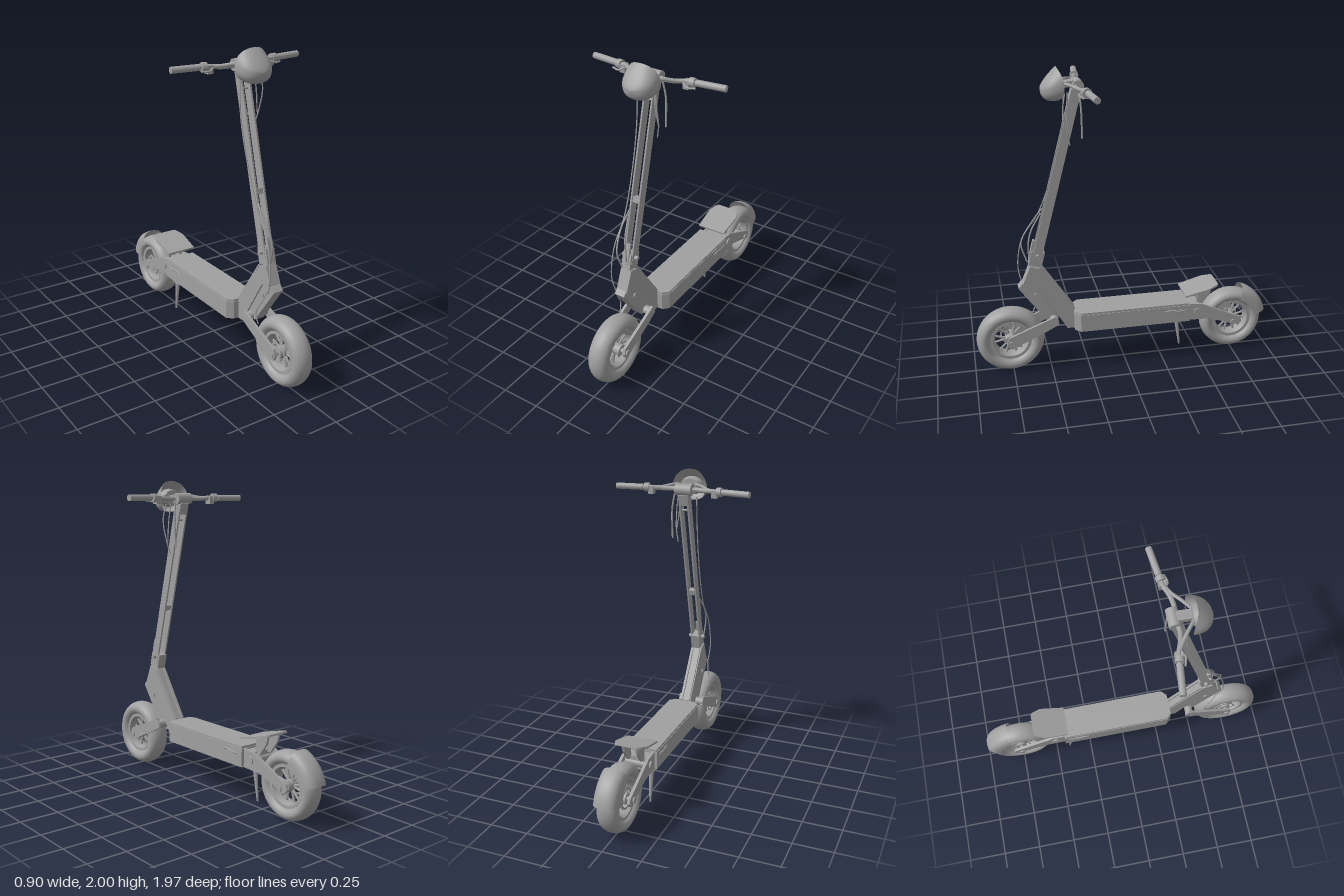
import * as THREE from 'three';
import { toCreasedNormals } from 'three/addons/utils/BufferGeometryUtils.js';
import { ParametricGeometry } from 'three/addons/geometries/ParametricGeometry.js';

const grey = new THREE.MeshStandardMaterial({ color: 0xa0a0a0, side: THREE.DoubleSide });
grey.name = 'grey';

const V = (x, y, z) => new THREE.Vector3(x, y, z);

function add(parent, name, geometry) {
  const mesh = new THREE.Mesh(geometry, grey);
  mesh.name = name;
  parent.add(mesh);
  return mesh;
}

// side outline of [z, y] points, extruded from x0 to x1
function plate(parent, name, outline, x0, x1) {
  const shape = new THREE.Shape(outline.map(([z, y]) => new THREE.Vector2(z, y)));
  const g = new THREE.ExtrudeGeometry(shape, { depth: x1 - x0, bevelEnabled: false });
  g.rotateY(-Math.PI / 2).translate(x1, 0, 0);
  return add(parent, name, g);
}

// straight round bar between two points
function bar(parent, name, a, b, ra, rb = ra, sides = 20) {
  const d = b.clone().sub(a);
  const mesh = add(parent, name, new THREE.CylinderGeometry(rb, ra, d.length(), sides));
  mesh.position.copy(a).addScaledVector(d, 0.5);
  mesh.quaternion.setFromUnitVectors(V(0, 1, 0), d.normalize());
  return mesh;
}

const pin = (parent, name, y, z, r, half) => bar(parent, name, V(-half, y, z), V(half, y, z), r);

function tube(parent, name, points, r) {
  const curve = new THREE.CatmullRomCurve3(points.map((p) => V(...p)));
  return add(parent, name, new THREE.TubeGeometry(curve, 40, r, 8));
}

function box(parent, name, size, pos, tilt = 0) {
  const mesh = add(parent, name, new THREE.BoxGeometry(...size));
  mesh.position.set(...pos);
  mesh.rotation.x = tilt;
  return mesh;
}

function ring(parent, name, profile) {
  const pts = profile.map(([r, x]) => new THREE.Vector2(r, x));
  const g = new THREE.LatheGeometry(pts, 56).rotateZ(Math.PI / 2);
  return add(parent, name, toCreasedNormals(g, 0.6));
}

function wheel(name, z, R) {
  const g = new THREE.Group();
  g.name = name;
  g.position.set(0, 0.22, z);
  const mid = (R + 0.125) / 2, half = (R - 0.125) / 2;
  const tyre = [];
  for (let i = 0; i <= 28; i++) {
    const a = (i / 28) * Math.PI * 2;
    tyre.push([mid + half * Math.cos(a), 0.068 * Math.sin(a)]);
  }
  ring(g, 'tyre', tyre);
  ring(g, 'rim', [[0.115, -0.045], [0.135, -0.045], [0.135, 0.045], [0.115, 0.045], [0.105, 0.02], [0.105, -0.02], [0.115, -0.045]]);
  pin(g, 'hub', 0, 0, 0.036, 0.05);
  pin(g, 'axle', 0, 0, 0.015, 0.1);
  // paired spokes
  for (let i = 0; i < 6; i++) {
    for (const s of [-1, 1]) {
      const a = (i / 6) * Math.PI * 2 + s * 0.1, b = a + s * 0.12;
      bar(g, 'spoke', V(0, 0.03 * Math.sin(a), 0.03 * Math.cos(a)),
        V(0, 0.112 * Math.sin(b), 0.112 * Math.cos(b)), 0.009, 0.008, 6);
    }
  }
  const disc = add(g, 'brakeDisc', new THREE.RingGeometry(0.055, 0.068, 40));
  disc.rotation.y = Math.PI / 2;
  disc.position.x = -0.045;
  return g;
}

export function createModel() {
  const model = new THREE.Group();
  model.name = 'scooter';
  model.add(wheel('frontWheel', 0.76, 0.222), wheel('rearWheel', -0.745, 0.213));

  // deck with cut front corners
  const deckPlan = (w, front, back, cut) => new THREE.Shape([[-w, back], [w, back], [w, front - cut], [w - cut, front], [cut - w, front], [-w, front - cut]]
    .map(([x, z]) => new THREE.Vector2(x, -z)));
  const slab = (name, w, front, back, cut, y, h) => add(model, name,
    new THREE.ExtrudeGeometry(deckPlan(w, front, back, cut), { depth: h, bevelEnabled: false }).rotateX(-Math.PI / 2).translate(0, y, 0));
  slab('deck', 0.108, 0.34, -0.43, 0.035, 0.268, 0.117);
  slab('deckMat', 0.104, 0.335, -0.425, 0.033, 0.385, 0.014);

  // neck rising from deck to head block
  plate(model, 'neck', [[0.67, 0.6], [0.615, 0.735], [0.555, 0.715], [0.34, 0.4], [0.335, 0.268], [0.385, 0.268], [0.58, 0.6]], -0.038, 0.038);
  for (const s of [-1, 1]) {
    const x = s * 0.025;
    plate(model, 'neckRib', [[0.555, 0.725], [0.535, 0.715], [0.33, 0.405], [0.34, 0.395]], x - 0.008, x + 0.008);
  }

  // front fork: central leg and side swing arms
  plate(model, 'forkLeg', [[0.695, 0.585], [0.67, 0.615], [0.59, 0.605], [0.44, 0.35], [0.51, 0.325]], -0.034, 0.034);
  pin(model, 'forkBolt', 0.53, 0.585, 0.014, 0.042);
  pin(model, 'forkPivot', 0.345, 0.475, 0.028, 0.088);
  pin(model, 'rearPivot', 0.325, -0.49, 0.026, 0.1);
  for (const s of [-1, 1]) {
    const x = s * 0.082;
    plate(model, 'frontArm', [[0.47, 0.385], [0.445, 0.33], [0.52, 0.29], [0.74, 0.187], [0.775, 0.187], [0.79, 0.22], [0.775, 0.26]], x - 0.009, x + 0.009);
    plate(model, 'rearArm', [[-0.41, 0.387], [-0.52, 0.375], [-0.79, 0.25], [-0.805, 0.22], [-0.785, 0.193], [-0.57, 0.262], [-0.41, 0.268]], x - 0.009, x + 0.009);
    for (const z of [0.76, -0.745]) {
      bar(model, 'axleNut', V(s * 0.07, 0.22, z), V(s * 0.1, 0.22, z), 0.02, 0.02, 6);
    }
    tube(model, 'deckSideCable', [[s * 0.11, 0.352, -0.26], [s * 0.111, 0.36, -0.3], [s * 0.111, 0.348, -0.35], [s * 0.11, 0.355, -0.4]], 0.005);
    box(model, 'deckSlot', [0.006, 0.01, 0.1], [s * 0.109, 0.355, -0.34]);
  }
  box(model, 'rearBridge', [0.15, 0.09, 0.09], [0, 0.33, -0.46]);

  // tilted foot rest and its supports
  const rest = new THREE.Shape([[-0.1, 0.118], [0.1, 0.118], [0.108, -0.05], [0.085, -0.11], [0.07, -0.12], [-0.07, -0.12], [-0.085, -0.11], [-0.108, -0.05]]
    .map(([x, z]) => new THREE.Vector2(x, -z)));
  const footRest = add(model, 'footRest', new THREE.ExtrudeGeometry(rest, { depth: 0.012, bevelEnabled: false }).rotateX(-Math.PI / 2));
  footRest.position.set(0, 0.468, -0.518);
  footRest.rotation.x = 0.25;
  for (const s of [-1, 1]) {
    plate(model, 'footRestSupport', [[-0.49, 0.355], [-0.5, 0.46], [-0.6, 0.485], [-0.585, 0.435], [-0.53, 0.36]], s * 0.045 - 0.008, s * 0.045 + 0.008);
  }

  // rear fender, a curved shell over the back of the tyre
  add(model, 'rearFender', new ParametricGeometry((u, v, p) => {
    const t = (u - 0.5) * Math.PI;
    const a = THREE.MathUtils.degToRad(18 + 60 * v);
    const x = 0.08 * Math.sign(t) * Math.pow(Math.abs(Math.sin(t)), 0.75);
    const r = 0.155 + 0.09 * Math.pow(Math.max(0, Math.cos(t)), 0.65);
    p.set(x, 0.22 + r * Math.cos(a), -0.745 - r * Math.sin(a));
  }, 28, 16));

  // kickstand
  bar(model, 'kickstand', V(-0.05, 0.26, -0.375), V(-0.05, 0.01, -0.405), 0.018, 0.006, 10);
  box(model, 'kickstandMount', [0.05, 0.045, 0.06], [-0.05, 0.25, -0.365]);

  // open stem made of two rails
  const stem = new THREE.Group();
  stem.name = 'stem';
  stem.position.set(0, 0.75, 0.578);
  stem.rotation.x = -0.252;
  model.add(stem);
  for (const s of [-1, 1]) {
    box(stem, 'stemRail', [0.011, 1.13, 0.058], [s * 0.028, 0.575, 0]);
  }
  box(stem, 'stemCrossBlock', [0.046, 0.035, 0.04], [0, 0.42, 0]);
  box(stem, 'stemTop', [0.064, 0.07, 0.062], [0, 1.11, 0]);
  box(stem, 'foldingHinge', [0.062, 0.1, 0.085], [0, 0.03, 0]);
  box(stem, 'foldingLatch', [0.035, 0.13, 0.018], [0, 0.08, 0.04]);
  pin(stem, 'hingePin', 0.055, 0, 0.013, 0.055);
  pin(stem, 'stemBolt', 1.03, 0, 0.007, 0.037);

  // handlebar
  pin(model, 'handlebarClamp', 1.885, 0.285, 0.036, 0.055);
  for (const s of [-1, 1]) {
    tube(model, 'handlebar', [[0, 1.885, 0.285], [s * 0.07, 1.885, 0.305], [s * 0.14, 1.885, 0.295], [s * 0.21, 1.89, 0.27], [s * 0.3, 1.89, 0.258]], 0.015);
    tube(model, 'headlightBrace', [[s * 0.035, 1.9, 0.395], [s * 0.09, 1.905, 0.35], [s * 0.15, 1.893, 0.305], [s * 0.21, 1.89, 0.272]], 0.011);
    bar(model, 'grip', V(s * 0.27, 1.89, 0.261), V(s * 0.449, 1.89, 0.24), 0.02);
    bar(model, 'gripCollar', V(s * 0.23, 1.89, 0.268), V(s * 0.262, 1.89, 0.263), 0.028);
    box(model, 'switchPod', [0.035, 0.05, 0.045], [s * 0.215, 1.875, 0.27]);
    tube(model, 'brakeLever', [[s * 0.2, 1.885, 0.29], [s * 0.23, 1.87, 0.305], [s * 0.28, 1.87, 0.292]], 0.006);
  }
  box(model, 'headlightNeck', [0.06, 0.035, 0.12], [0, 1.895, 0.34], 0.1);

  // headlight: rounded shell sloping from a high rear rim to a low nose
  add(model, 'headlight', new ParametricGeometry((u, v, p) => {
    const a = u * Math.PI * 2, c = Math.cos(a), s = Math.sin(a);
    const w = Math.sqrt(Math.max(0, 1 - v ** 2.6));
    const up = s > 0 ? 0.115 * (0.25 * w + 0.75 * (1 - v)) : 0.085 * w;
    const rim = 0.375 + 0.035 * s * s * (1 - v);
    p.set(0.11 * w * Math.sign(c) * Math.pow(Math.abs(c), 0.85),
      1.885 - 0.015 * v + up * Math.sign(s) * Math.pow(Math.abs(s), 0.85),
      rim + 0.135 * v);
  }, 40, 18));
  const display = bar(model, 'displayHousing', V(0, 1.89, 0.39), V(0, 1.89, 0.44), 0.05, 0.06, 28);
  display.scale.x = 1.3;

  // cables
  tube(model, 'longCable', [[-0.06, 1.83, 0.36], [-0.062, 1.6, 0.375], [-0.055, 1.3, 0.45], [-0.05, 1.05, 0.55], [-0.055, 0.9, 0.65], [-0.06, 0.7, 0.685], [-0.05, 0.57, 0.66]], 0.004);
  tube(model, 'shortCable', [[-0.03, 1.1, 0.52], [-0.045, 1.0, 0.59], [-0.03, 0.88, 0.66], [-0.02, 0.75, 0.63]], 0.005);
  tube(model, 'innerCable', [[-0.03, 1.07, 0.53], [-0.01, 0.95, 0.6], [0.005, 0.85, 0.62], [0, 0.74, 0.61]], 0.005);
  tube(model, 'brakeCable', [[-0.05, 0.6, 0.66], [-0.07, 0.5, 0.62], [-0.08, 0.42, 0.58], [-0.075, 0.35, 0.6]], 0.004);
  tube(model, 'looseCable', [[0.07, 1.85, 0.37], [0.085, 1.75, 0.385], [0.08, 1.62, 0.36], [0.06, 1.53, 0.345]], 0.004);
  tube(model, 'looseCable', [[0.05, 1.85, 0.35], [0.06, 1.72, 0.36], [0.075, 1.6, 0.35]], 0.004);
  tube(model, 'hangingStrap', [[0.06, 1.87, 0.285], [0.075, 1.76, 0.275], [0.07, 1.57, 0.27]], 0.006);
  return model;
}
